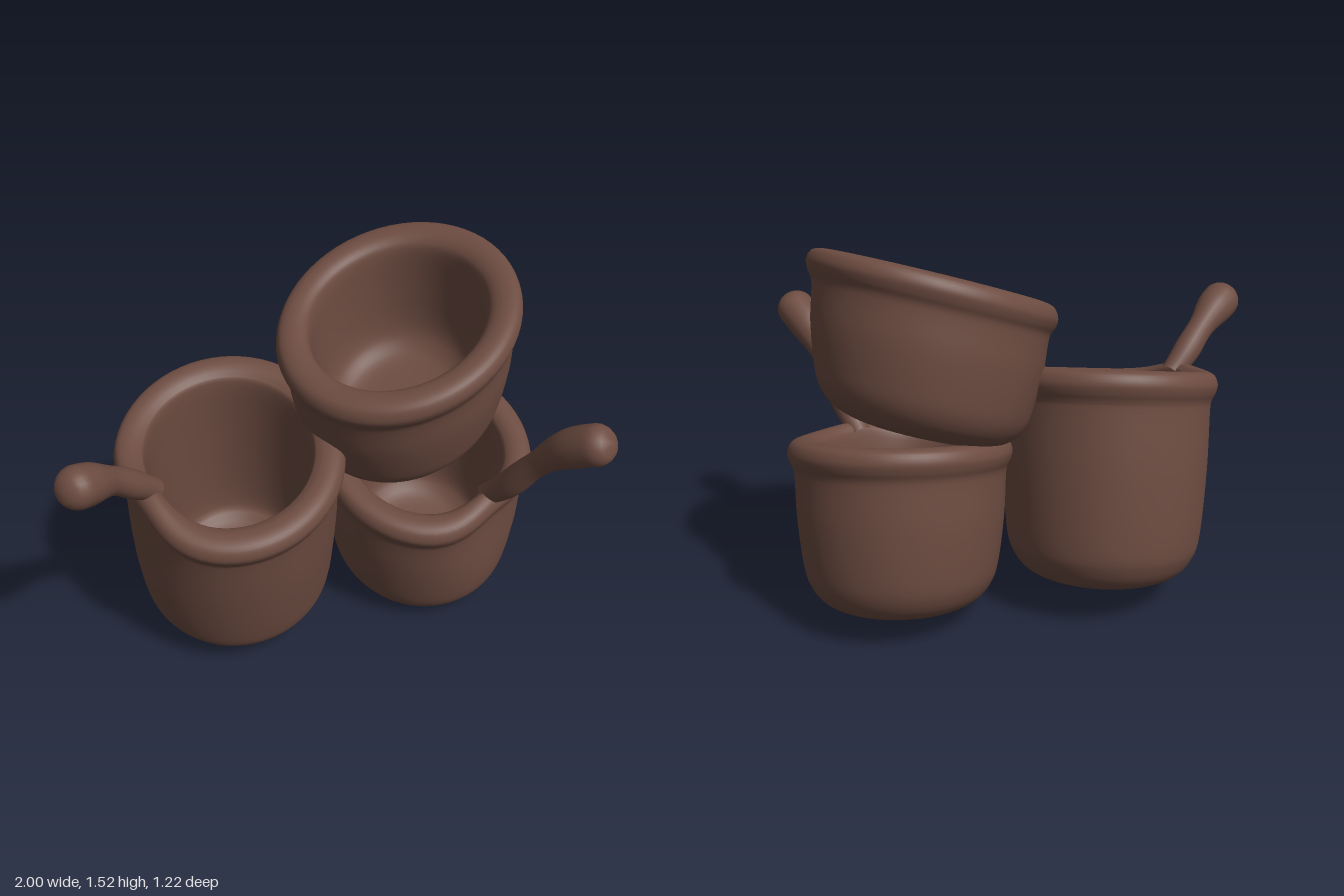
import * as THREE from 'three';
import { mergeVertices } from 'three/addons/utils/BufferGeometryUtils.js';

const clay = new THREE.MeshStandardMaterial({ color: 0x6d4c41 });
clay.name = 'brown clay';

// Drop texture seams and give a geometry fresh smooth normals
function smooth(geometry) {
  geometry.deleteAttribute('uv');
  geometry.deleteAttribute('normal');
  const merged = mergeVertices(geometry, 1e-4);
  merged.computeVertexNormals();
  return merged;
}

// Hollow round pot with a rolled rim, height h, standing on y = 0
function potGeometry(h) {
  const profile = [
    [0, 0], [0.13, 0], [0.245, 0.01], [0.335, 0.045], [0.388, 0.11], [0.413, 0.2],
    [0.433, h * 0.55], [0.438, h - 0.16], [0.443, h - 0.115], [0.458, h - 0.085], [0.466, h - 0.05],
    [0.448, h - 0.012], [0.405, h], [0.358, h - 0.015], [0.335, h - 0.06],
    [0.32, h * 0.65], [0.295, 0.2], [0.25, 0.125], [0.17, 0.095], [0, 0.09],
  ].map(([x, y]) => new THREE.Vector2(x, y));
  const points = new THREE.SplineCurve(profile).getPoints(76);
  points.forEach((p) => { p.x = Math.max(p.x, 0); });
  points[0].x = points[points.length - 1].x = 0;
  return new THREE.LatheGeometry(points, 64);
}

// Press the wall and rim inwards and lift the rim a little where a handle joins it
function pinchRim(geometry, h, angle) {
  const pos = geometry.attributes.position;
  for (let i = 0; i < pos.count; i++) {
    const x = pos.getX(i), y = pos.getY(i), z = pos.getZ(i);
    const turn = Math.acos(Math.cos(Math.atan2(z, x) - angle));
    const near = Math.exp(-((turn / 0.45) ** 2));
    const outer = THREE.MathUtils.smoothstep(Math.hypot(x, z), 0.33, 0.42);
    const press = 1 - 0.1 * near * (0.3 + 0.7 * outer) * THREE.MathUtils.smoothstep(y, h - 0.55, h - 0.06);
    const lift = 0.035 * near * THREE.MathUtils.smoothstep(y, h - 0.3, h - 0.06);
    pos.setXYZ(i, x * press, y + lift, z * press);
  }
}

// Make the base slope less than the rim
function levelBase(geometry, h, amount) {
  const pos = geometry.attributes.position;
  for (let i = 0; i < pos.count; i++) {
    const y = pos.getY(i);
    pos.setY(i, y + amount * pos.getZ(i) * (1 - Math.min(1, y / h)));
  }
}

// Lean a pot from its base centre to its top centre; side and front are its
// slanted horizontal axes, so the rim and base tilt together
function makePot(name, { base, top, side, front, level = 0, handleAngle }) {
  const bottom = new THREE.Vector3(...base);
  const axis = new THREE.Vector3(...top).sub(bottom);
  const height = axis.y;
  const geometry = potGeometry(height);
  if (handleAngle !== undefined) pinchRim(geometry, height, handleAngle);
  levelBase(geometry, height, level);
  const lean = new THREE.Matrix4()
    .makeBasis(new THREE.Vector3(...side), axis.divideScalar(height), new THREE.Vector3(...front))
    .setPosition(bottom);
  const mesh = new THREE.Mesh(smooth(geometry.applyMatrix4(lean)), clay);
  mesh.name = name;
  return mesh;
}

// Curved handle: a tube whose rings follow a list of radii and close in a round tip
function makeHandle(name, path, radii) {
  const curve = new THREE.CatmullRomCurve3(path.map((p) => new THREE.Vector3(...p)));
  const rings = 40, sides = 20;
  const tube = new THREE.TubeGeometry(curve, rings, 1, sides, false);
  const width = new THREE.SplineCurve(radii.map((r, i) => new THREE.Vector2(i, r)));
  const tipLength = 0.075 / curve.getLength();
  const pos = tube.attributes.position;
  const v = new THREE.Vector3();
  for (let i = 0; i <= rings; i++) {
    const t = i / rings;
    const centre = curve.getPointAt(t);
    const into = Math.max(0, (t - 1 + tipLength) / tipLength);
    const r = width.getPoint(t).y * Math.sqrt(Math.max(0, 1 - into * into));
    for (let j = 0; j <= sides; j++) {
      const k = i * (sides + 1) + j;
      v.fromBufferAttribute(pos, k).sub(centre).multiplyScalar(r).add(centre);
      pos.setXYZ(k, v.x, v.y, v.z);
    }
  }
  const mesh = new THREE.Mesh(smooth(tube), clay);
  mesh.name = name;
  return mesh;
}

export function createModel() {
  const model = new THREE.Group();
  model.name = 'stackedPots';
  model.add(
    // Three leaning pots
    makePot('leftLowerPot', {
      base: [0.437, 0.052, -0.2], top: [0.43, 0.735, -0.1],
      side: [0.95, 0, 0], front: [0, -0.265, 1], level: 0.06, handleAngle: 0.95,
    }),
    makePot('rightPot', {
      base: [-0.385, 0.092, -0.03], top: [-0.395, 0.945, 0.122],
      side: [0.97, 0.03, 0], front: [0, -0.3, 1], level: 0.1, handleAngle: 2.6,
    }),
    makePot('upperPot', {
      base: [0.345, 0.79, -0.21], top: [0.28, 1.378, -0.092],
      side: [1.01, 0.25, 0], front: [0, -0.28, 1.03],
    }),
    // Club-shaped handles rising from the rims
    makeHandle('leftHandle',
      [[0.628, 0.65, 0.175], [0.69, 0.75, 0.245], [0.755, 0.89, 0.32], [0.84, 1.03, 0.41], [0.965, 1.145, 0.54]],
      [0.045, 0.056, 0.052, 0.078, 0.08]),
    makeHandle('rightHandle',
      [[-0.682, 0.88, 0.275], [-0.745, 0.95, 0.33], [-0.81, 1.03, 0.4], [-0.88, 1.095, 0.49], [-0.965, 1.155, 0.6]],
      [0.045, 0.056, 0.055, 0.078, 0.08]),
  );
  return model;
}
